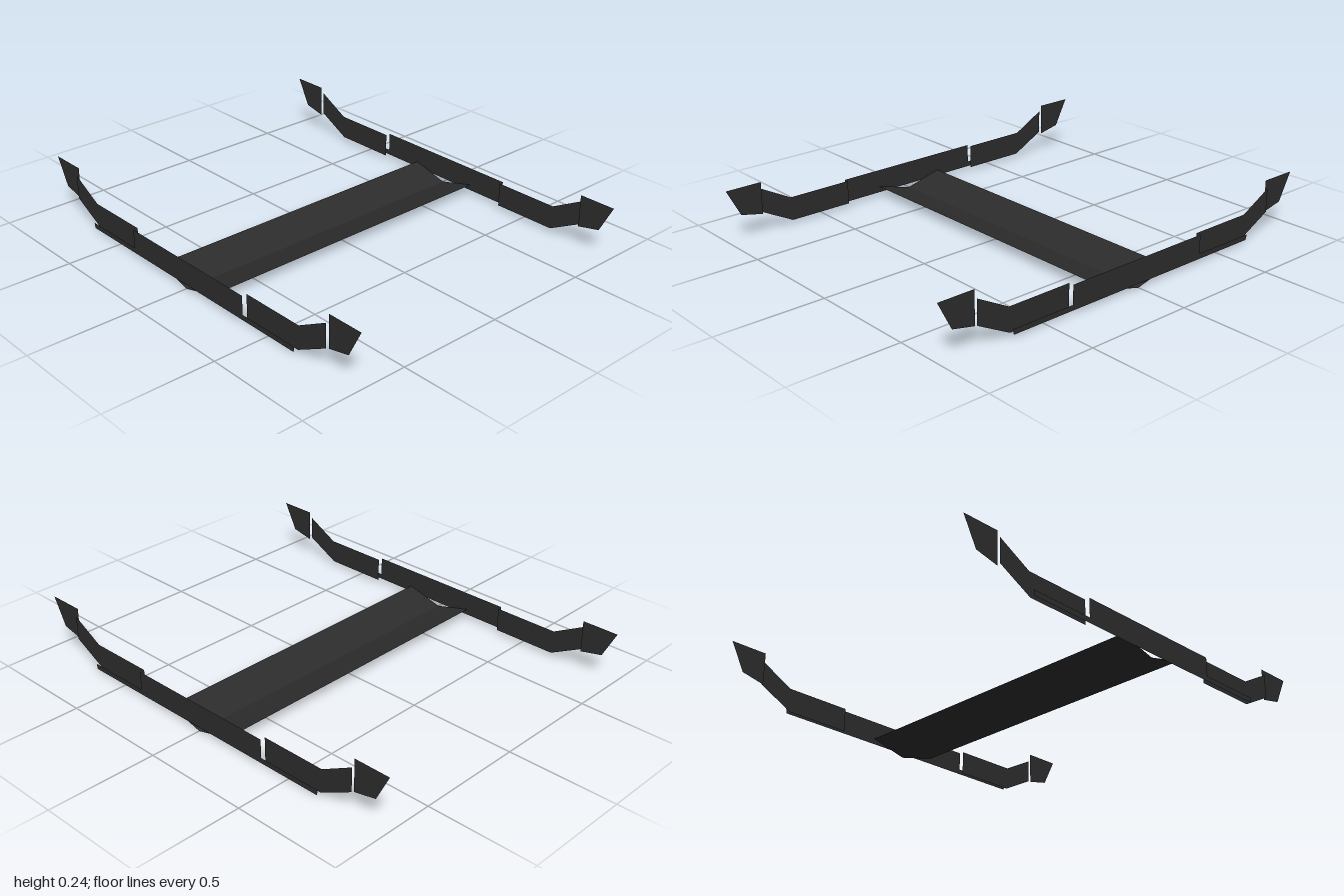
import * as THREE from 'three';

// Thin flat plate in the xy plane, at depth z
function plate(name, points, z, material) {
  const shape = new THREE.Shape(points.map(([x, y]) => new THREE.Vector2(x, y)));
  const mesh = new THREE.Mesh(new THREE.ShapeGeometry(shape), material);
  mesh.name = name;
  mesh.position.z = z;
  return mesh;
}

export function createModel() {
  const model = new THREE.Group();
  model.name = 'frame';
  const charcoal = new THREE.MeshStandardMaterial({ color: 0x2c2c2c, side: THREE.DoubleSide });
  charcoal.name = 'charcoal';

  const halfLength = 0.757;

  // Shallow V-shaped beam joining the two rails
  for (const side of [-1, 1]) {
    const width = 0.174, rise = 0.045;
    const geometry = new THREE.PlaneGeometry(Math.hypot(width, rise), halfLength * 2);
    geometry.rotateX(-Math.PI / 2);
    geometry.rotateZ(side * Math.atan2(rise, width));
    const half = new THREE.Mesh(geometry, charcoal);
    half.name = side > 0 ? 'beamLeft' : 'beamRight';
    half.position.set(side * width / 2, rise / 2, 0);
    model.add(half);
  }

  // Rail outlines: stepped centre, upswept arms and flared tips
  const centre = [
    [-0.67, 0.018], [0.67, 0.018], [0.675, 0.042], [0.367, 0.042],
    [0.367, 0.128], [-0.367, 0.128], [-0.367, 0.042], [-0.675, 0.042],
  ];
  const arm = [
    [0.367, 0.018], [0.67, 0.018], [0.828, 0.1],
    [0.828, 0.21], [0.675, 0.128], [0.367, 0.128],
  ];
  const tip = [[0.828, 0.094], [0.935, 0.117], [1, 0.243], [0.828, 0.243]];

  for (const end of ['front', 'rear']) {
    const rail = new THREE.Group();
    rail.name = end + 'Rail';
    rail.add(plate('railCentre', centre, halfLength, charcoal));
    for (const side of [-1, 1]) {
      const mirror = ([x, y]) => [x * side, y];
      rail.add(plate('railArm', arm.map(mirror), 0.735, charcoal));
      rail.add(plate('railTip', tip.map(mirror), 0.722, charcoal));
    }
    if (end === 'rear') rail.rotation.y = Math.PI;
    model.add(rail);
  }
  return model;
}
